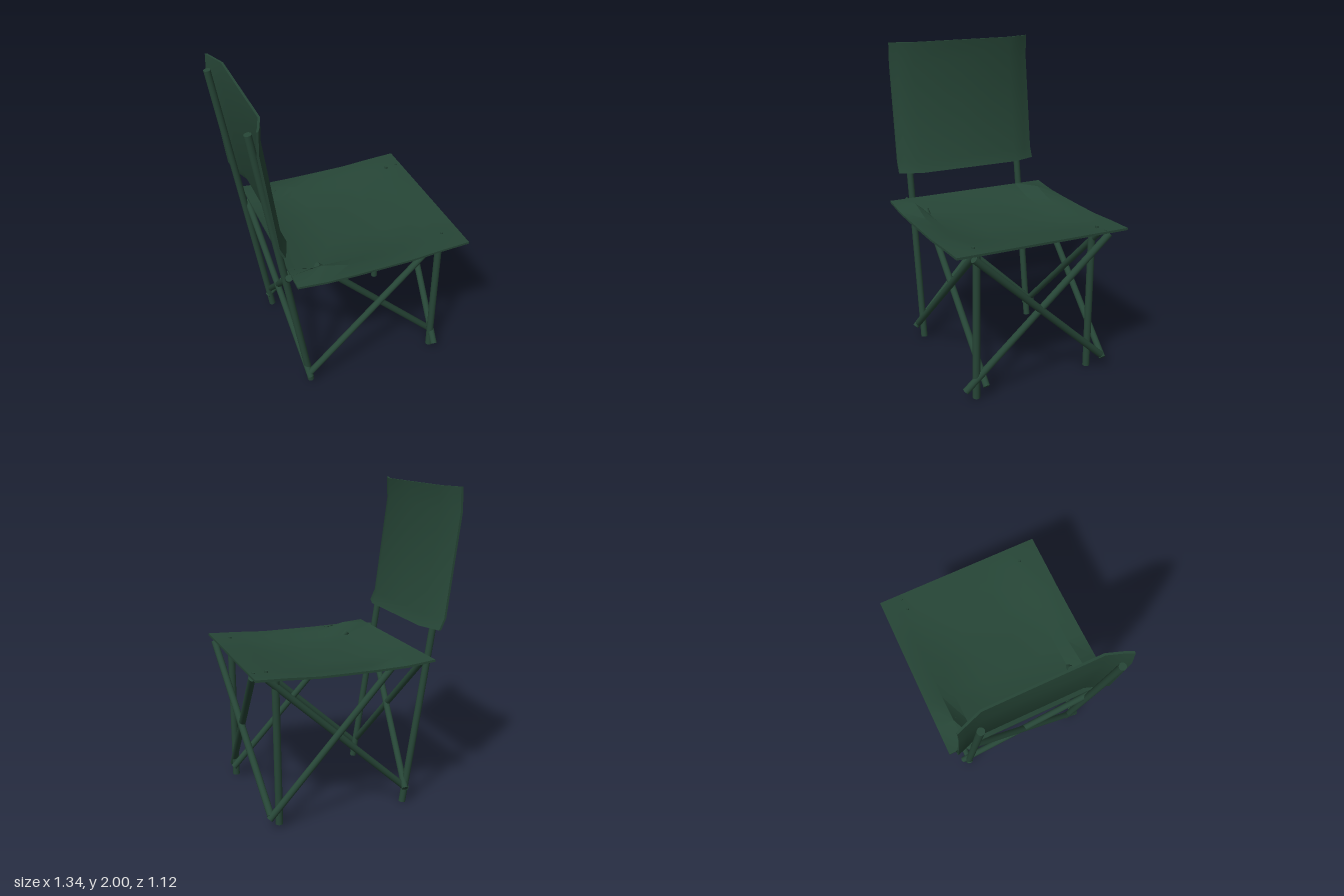
import * as THREE from 'three';
import { toCreasedNormals } from 'three/addons/utils/BufferGeometryUtils.js';

const green = new THREE.MeshStandardMaterial({ color: 0x264536, roughness: 0.85 });

// Round pole between two points
function pole(name, a, b, r) {
  const p = new THREE.Vector3(...a), q = new THREE.Vector3(...b);
  const mesh = new THREE.Mesh(new THREE.CylinderGeometry(r, r, p.distanceTo(q), 14), green);
  mesh.name = name;
  mesh.position.copy(p).add(q).multiplyScalar(0.5);
  mesh.quaternion.setFromUnitVectors(new THREE.Vector3(0, 1, 0), q.sub(p).normalize());
  return mesh;
}

// Thin cloth slab: a segmented box whose grid lines follow us and vs; place(u, v, t) gives the point
function cloth(name, us, vs, place) {
  const nu = us.length - 1, nv = vs.length - 1;
  const geo = new THREE.BoxGeometry(1, 1, 1, nu, 1, nv);
  const pos = geo.attributes.position;
  for (let i = 0; i < pos.count; i++) {
    const u = us[Math.round((pos.getX(i) + 0.5) * nu)];
    const v = vs[Math.round((pos.getZ(i) + 0.5) * nv)];
    pos.setXYZ(i, ...place(u, v, pos.getY(i)));
  }
  const mesh = new THREE.Mesh(toCreasedNormals(geo, 0.5), green);
  mesh.name = name;
  return mesh;
}

export function createModel() {
  const chair = new THREE.Group();
  chair.name = 'foldingChair';

  // Long raked back posts and upright front legs
  for (const z of [0.395, -0.41]) {
    chair.add(pole('backPost', [-0.34, 0.005, z], [-0.652, 1.95, z], 0.022));
  }
  chair.add(pole('frontLeg', [0.54, 0.004, 0.395], [0.55, 0.95, 0.39], 0.023));
  chair.add(pole('frontLeg', [0.488, 0.004, -0.41], [0.498, 0.95, -0.41], 0.023));

  // Crossed side braces
  chair.add(pole('sideBrace', [-0.37, 0.09, 0.43], [0.57, 0.95, 0.4], 0.021));
  chair.add(pole('sideBrace', [-0.28, 0.95, 0.38], [0.57, 0.08, 0.34], 0.021));
  chair.add(pole('sideBrace', [-0.37, 0.09, -0.41], [0.57, 0.95, -0.42], 0.021));
  chair.add(pole('sideBrace', [-0.28, 0.97, -0.44], [0.57, 0.08, -0.48], 0.021));

  // Crossed braces at the front and back
  chair.add(pole('frontBrace', [0.54, 0.06, 0.465], [0.645, 0.96, -0.44], 0.022));
  chair.add(pole('frontBrace', [0.56, 0.1, -0.47], [0.645, 0.95, 0.45], 0.022));
  chair.add(pole('backBrace', [-0.36, 0.08, 0.45], [-0.465, 0.96, -0.43], 0.021));
  chair.add(pole('backBrace', [-0.34, 0.11, -0.45], [-0.48, 0.97, 0.45], 0.021));

  // Seat cloth, sagging in the middle and pushed up over the rear brace ends
  const seatX = [-0.465, -0.28, -0.1, 0.1, 0.28, 0.48, 0.66];
  const seatZ = [-0.56, -0.45, -0.37, -0.15, 0.15, 0.37, 0.45, 0.56];
  const sagX = [0, 0.85, 1, 1, 0.95, 0.35, 0];
  const sagZ = [0.3, 0.4, 0.8, 1, 1, 0.8, 0.4, 0.3];
  chair.add(cloth('seat', seatX, seatZ, (x, z, t) => {
    const i = seatX.indexOf(x), k = seatZ.indexOf(z);
    const overBrace = i === 1 && (k === 1 || k === 6);
    const y = overBrace ? 0.995 : 0.975 - 0.072 * sagX[i] * sagZ[k];
    return [x, y + t * 0.014, z];
  }));

  // Small fasteners at the seat corners
  for (const [x, z] of [[-0.32, -0.45], [0.55, 0.41], [0.55, -0.41], [0.63, -0.42]]) {
    chair.add(pole('fastener', [x, 0.94, z], [x, 0.985, z], 0.01));
  }

  // Back cloth: raked panel with a flared hem and sides folded back round the posts
  const rows = [1.15, 1.22, 1.86, 2.0];
  const rowX = [-0.455, -0.487, -0.572, -0.567];
  const columns = [0.475, 0.43, 0.33, 0, -0.37, -0.47, -0.525];
  const fold = [-0.055, -0.035, 0, 0, 0, -0.035, -0.055];
  chair.add(cloth('backrest', rows, columns, (y, z, t) =>
    [rowX[rows.indexOf(y)] + fold[columns.indexOf(z)] - t * 0.014, y, -z - 0.05]));
  // Turn the panel so its wider overhang lies on the right
  const back = chair.getObjectByName('backrest');
  const p = back.geometry.attributes.position;
  const n = back.geometry.attributes.normal;
  for (let i = 0; i < p.count; i++) {
    p.setZ(i, -p.getZ(i) - 0.05);
    n.setZ(i, -n.getZ(i));
  }
  // Restore outward winding after the mirror
  for (let i = 0; i < p.count; i += 3) {
    for (const attr of [p, n]) {
      const a = new THREE.Vector3().fromBufferAttribute(attr, i + 1);
      const b = new THREE.Vector3().fromBufferAttribute(attr, i + 2);
      attr.setXYZ(i + 1, b.x, b.y, b.z);
      attr.setXYZ(i + 2, a.x, a.y, a.z);
    }
  }
  return chair;
}
